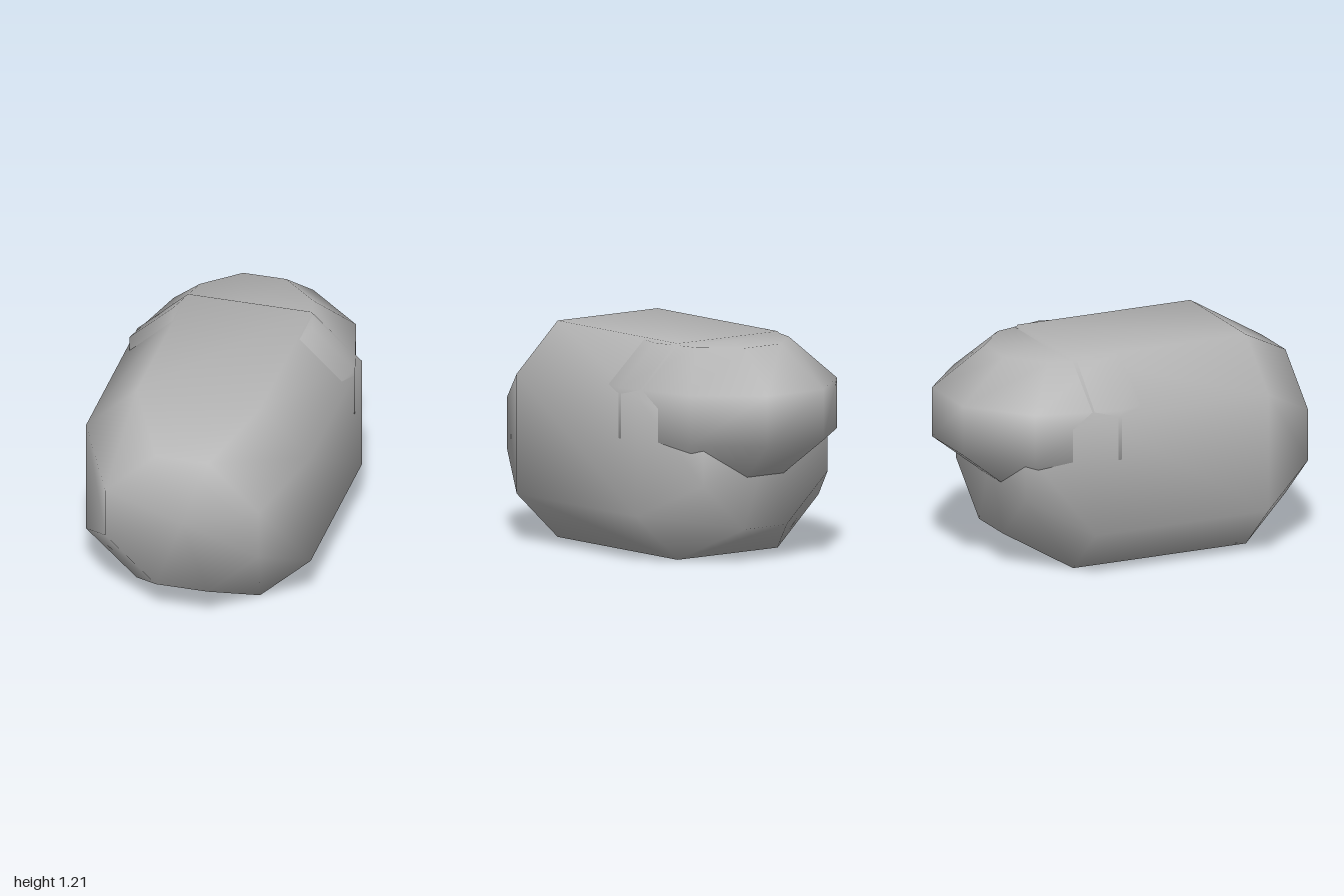
import * as THREE from 'three';

// Closed smooth skin through rings that run counter-clockwise about their axis
function loft(rings) {
  const n = rings[0].length;
  const points = rings.flat();
  const index = [];
  for (let i = 0; i < rings.length - 1; i++) {
    for (let j = 0; j < n; j++) {
      const k = (j + 1) % n;
      const a = i * n + j, b = i * n + k, c = b + n, d = a + n;
      index.push(a, b, c, a, c, d);
    }
  }
  // Flat caps fan out from the middle of the first and last ring
  const addCap = (ring, start, flip) => {
    const centre = new THREE.Vector3();
    ring.forEach((p) => centre.addScaledVector(p, 1 / n));
    const m = points.push(centre) - 1;
    for (let j = 0; j < n; j++) {
      const a = start + j, b = start + (j + 1) % n;
      if (flip) index.push(m, b, a);
      else index.push(m, a, b);
    }
  };
  addCap(rings[0], 0, true);
  addCap(rings[rings.length - 1], (rings.length - 1) * n, false);

  const geometry = new THREE.BufferGeometry().setFromPoints(points);
  geometry.setIndex(index);
  geometry.computeVertexNormals();
  return geometry;
}

// Rectangle with cut corners, upright at depth z
function cutRectangle(w, h, z) {
  const cx = 0.29, cy = 0.27, y0 = 0.605;
  return [
    [w, -h + cy], [w, h - cy], [w - cx, h], [-w + cx, h],
    [-w, h - cy], [-w, -h + cy], [-w + cx, -h], [w - cx, -h],
  ].map(([x, y]) => new THREE.Vector3(x, y0 + y, z));
}

// Level ten-sided ring
function decagon(rx, rz, y) {
  return Array.from({ length: 10 }, (_, i) => {
    const t = (i / 10) * Math.PI * 2;
    return new THREE.Vector3(rx * Math.cos(t), y, -0.25 - rz * Math.sin(t));
  });
}

export function createModel() {
  const group = new THREE.Group();
  const grey = new THREE.MeshStandardMaterial({ color: 0xb4b4b4 });
  grey.name = 'grey';

  const add = (name, geometry) => {
    const mesh = new THREE.Mesh(geometry, grey);
    mesh.name = name;
    group.add(mesh);
  };

  // Long block with bevelled ends
  add('body', loft([
    cutRectangle(0.44, 0.415, -0.735),
    cutRectangle(0.644, 0.605, -0.4),
    cutRectangle(0.644, 0.605, 0.66),
    cutRectangle(0.44, 0.415, 1),
  ]));

  // Faceted dome sunk into the upper back
  const rx = 0.647, rz = 0.75 / Math.cos(Math.PI / 10), s = 0.618;
  add('rearDome', loft([
    decagon(rx * s, rz * s, 0.463),
    decagon(rx, rz, 0.69),
    decagon(rx, rz, 0.972),
    decagon(rx * s, rz * s, 1.2),
  ]));

  return group;
}
